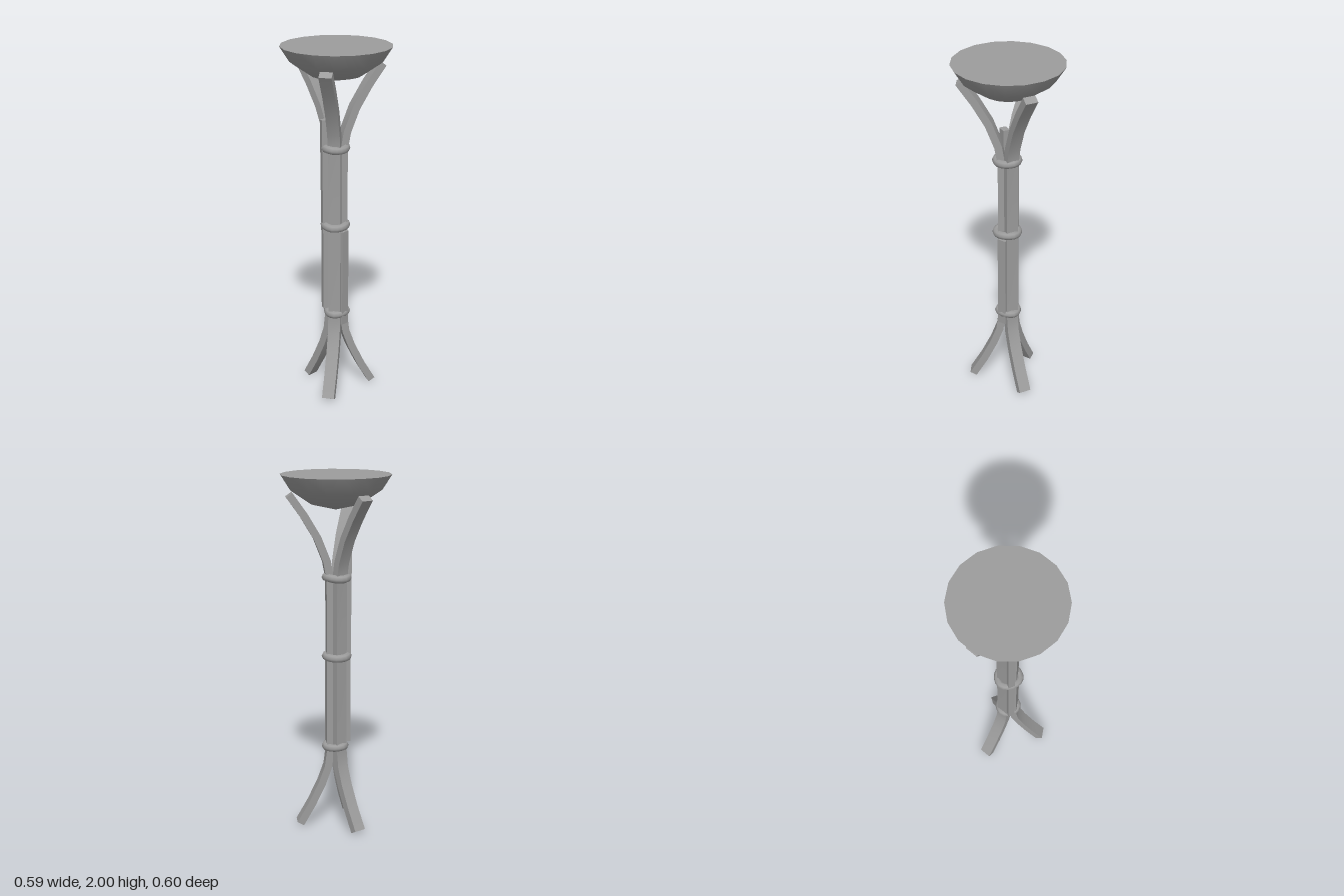
import * as THREE from 'three';

const grey = new THREE.MeshStandardMaterial({ color: 0x9c9c9c });

// Square bar swept along a [radius, height] path, from bottom to top
function bar(path, thickness, width) {
  const n = path.length - 1;
  const geo = new THREE.BoxGeometry(thickness, n, width, 1, n, 1);
  const pos = geo.attributes.position;
  for (let i = 0; i < pos.count; i++) {
    const row = Math.round(pos.getY(i) + n / 2);
    const a = path[Math.max(row - 1, 0)], b = path[Math.min(row + 1, n)];
    const len = Math.hypot(b[0] - a[0], b[1] - a[1]);
    const off = pos.getX(i);
    pos.setX(i, path[row][0] + off * (b[1] - a[1]) / len);
    pos.setY(i, path[row][1] - off * (b[0] - a[0]) / len);
  }
  geo.computeVertexNormals();
  return geo;
}

function add(group, name, geo, angle = 0) {
  const mesh = new THREE.Mesh(geo, grey);
  mesh.name = name;
  mesh.rotation.y = angle;
  group.add(mesh);
  return mesh;
}

export function createModel() {
  const group = new THREE.Group();

  // Three bars that splay out at the foot and under the bowl
  const legPath = [
    [0.207, 0.012], [0.14, 0.13], [0.083, 0.25], [0.047, 0.35], [0.034, 0.45],
    [0.033, 1.0], [0.034, 1.43], [0.052, 1.53], [0.103, 1.66], [0.174, 1.78], [0.254, 1.893],
  ];
  const legGeo = bar(legPath, 0.042, 0.069);
  for (let i = 0; i < 3; i++) add(group, 'leg' + (i + 1), legGeo, i * Math.PI * 2 / 3);

  // Shorter sticks filling two of the gaps
  const longStick = add(group, 'longFillerStick', bar([[0.054, 0.5], [0.055, 1.0], [0.06, 1.6]], 0.05, 0.038), Math.PI);
  longStick.position.z = -0.007;
  add(group, 'shortFillerStick', bar([[0.045, 0.41], [0.047, 0.97]], 0.045, 0.05), -Math.PI / 3);

  // Bindings: slightly uneven cords around the bundle
  [[0.47, 0.053, 0.002], [0.995, 0.061, -0.007], [1.44, 0.06, -0.007]].forEach(([y, r, x], k) => {
    const points = [];
    for (let i = 0; i < 9; i++) {
      const t = i / 9 * Math.PI * 2;
      const rr = r + 0.003 * Math.cos(3 * t);
      points.push(new THREE.Vector3(x + rr * Math.cos(t), y + 0.003 * Math.sin(2 * t + k), rr * Math.sin(t)));
    }
    const curve = new THREE.CatmullRomCurve3(points, true);
    add(group, 'binding' + (k + 1), new THREE.TubeGeometry(curve, 18, 0.0225, 8, true));
  });

  // Shallow bowl
  const profile = [[0, 1.81], [0.14, 1.843], [0.25, 1.918], [0.302, 2]].map(p => new THREE.Vector2(...p));
  add(group, 'bowl', new THREE.LatheGeometry(profile, 18));

  // Flat surface closing the bowl
  const lid = add(group, 'bowlTop', new THREE.CircleGeometry(0.302, 18, Math.PI / 2));
  lid.rotation.x = -Math.PI / 2;
  lid.position.y = 2;

  return group;
}
